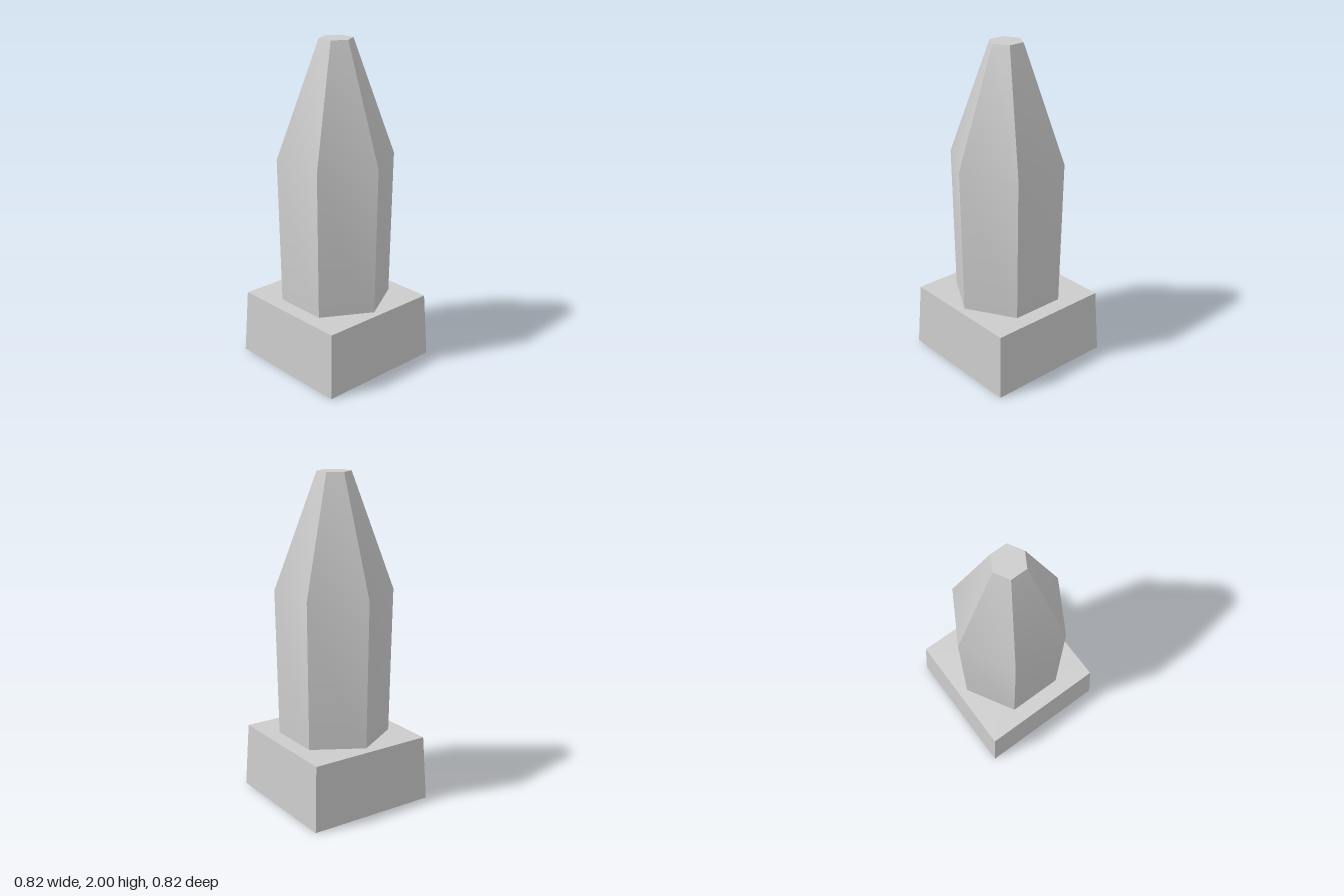
import * as THREE from 'three';
import { toCreasedNormals } from 'three/addons/utils/BufferGeometryUtils.js';

const material = new THREE.MeshStandardMaterial({ color: 0xcccccc, side: THREE.DoubleSide });

// Faceted shell, open below, turned from a [radius, y] profile given bottom to top
function facetedShell(name, profile, sides, phiStart) {
  const points = profile.map(([r, y]) => new THREE.Vector2(r, y));
  const lathe = new THREE.LatheGeometry(points, sides, phiStart);
  const mesh = new THREE.Mesh(toCreasedNormals(lathe, Math.PI / 6), material);
  mesh.name = name;
  return mesh;
}

export function createModel() {
  const group = new THREE.Group();
  group.name = 'post';

  // Tapered square plinth, closed on top and hollow below
  const corner = Math.SQRT2;
  const plinth = facetedShell('plinth',
    [[0.409 * corner, 0], [0.39 * corner, 0.4], [0, 0.4]], 4, Math.PI / 4);

  // Six-sided shaft, sunk into the plinth, with a steep tip and a flat top
  const shaft = facetedShell('shaft',
    [[0.336, 0.27], [0.355, 1.3], [0.101, 2], [0, 2]], 6, Math.PI / 2);
  shaft.position.set(0.006, 0, 0.002);

  group.add(plinth, shaft);
  return group;
}
